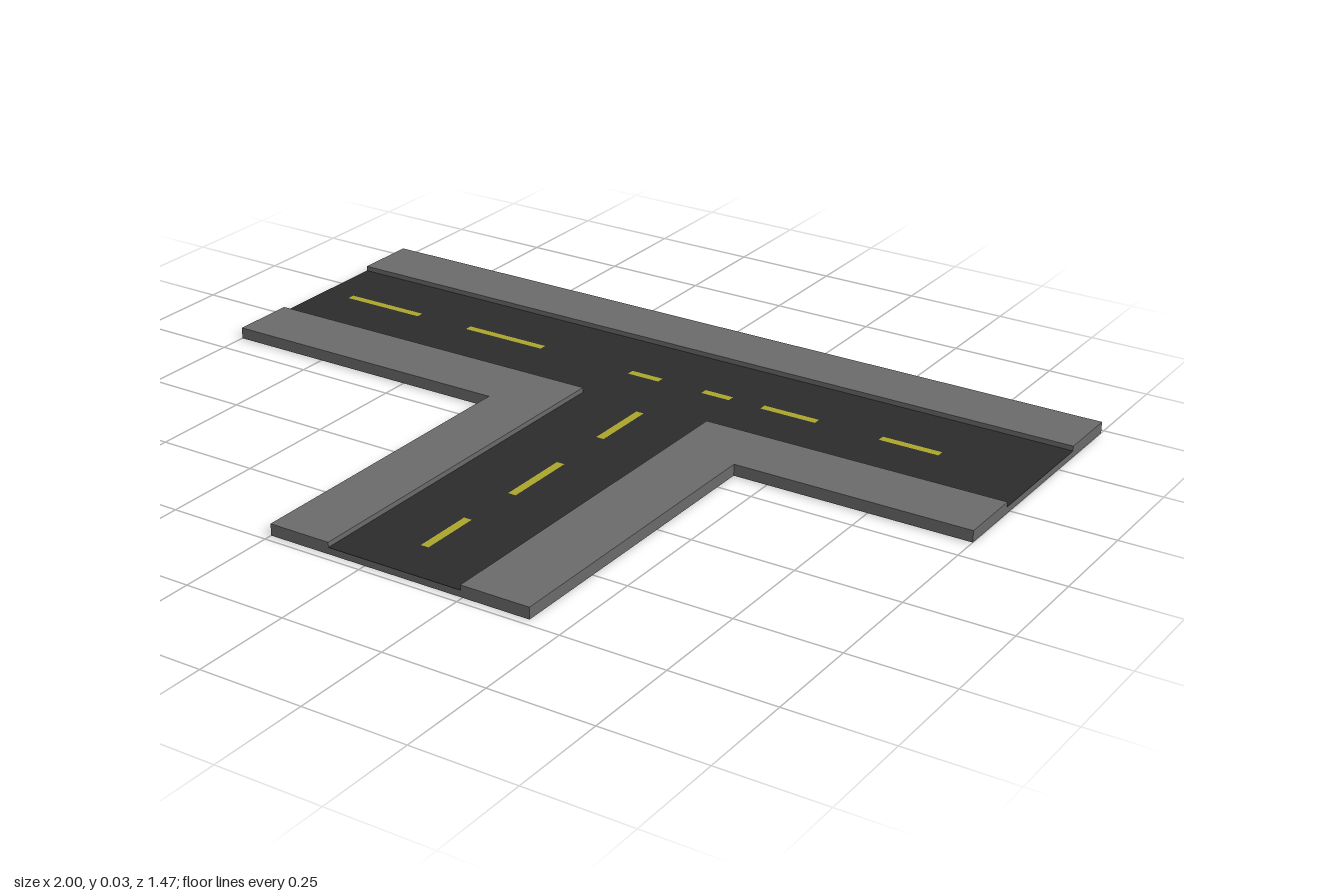
import * as THREE from 'three';

const ROAD_Y = 0.016, KERB_Y = 0.028;

export function createModel() {
  const model = new THREE.Group();
  const material = (name, color) => {
    const m = new THREE.MeshStandardMaterial({ color });
    m.name = name;
    return m;
  };
  const concrete = material('concrete', 0x6a6a6a);
  const asphalt = material('asphalt', 0x2b2b2b);
  const paint = material('yellow paint', 0xaaa52a);

  // Extrudes a plan outline of [x, z] points from height y0 to y1
  function slab(name, points, y0, y1, mat) {
    const shape = new THREE.Shape(points.map(([x, z]) => new THREE.Vector2(x, -z)));
    const geometry = new THREE.ExtrudeGeometry(shape, { depth: y1 - y0, bevelEnabled: false });
    geometry.rotateX(-Math.PI / 2).translate(0, y0, 0);
    const mesh = new THREE.Mesh(geometry, mat);
    mesh.name = name;
    model.add(mesh);
  }

  // Flat painted rectangle on the road
  function dash(name, x0, x1, z0, z1) {
    const geometry = new THREE.PlaneGeometry(x1 - x0, z1 - z0);
    geometry.rotateX(-Math.PI / 2).translate((x0 + x1) / 2, ROAD_Y + 0.001, (z0 + z1) / 2);
    const mesh = new THREE.Mesh(geometry, paint);
    mesh.name = name;
    model.add(mesh);
  }

  // T-shaped outline: crossbar between two z values, stem between two x values
  const tee = (zBack, zFront, xLeft, xRight) => [
    [-1, zBack], [-1, zFront], [xLeft, zFront], [xLeft, 0.73],
    [xRight, 0.73], [xRight, zFront], [1, zFront], [1, zBack],
  ];

  // Concrete base and the asphalt surface lying on it
  slab('base', tee(-0.735, -0.07, -0.25, 0.415), 0, ROAD_Y - 0.001, concrete);
  slab('roadSurface', tee(-0.577, -0.235, -0.095, 0.245), ROAD_Y - 0.001, ROAD_Y, asphalt);

  // Raised pavements: one straight, two L-shaped corners
  const y0 = ROAD_Y - 0.001;
  slab('backPavement', [[-1, -0.735], [-1, -0.577], [1, -0.577], [1, -0.735]], y0, KERB_Y, concrete);
  const corner = (end, inner, outer) => [
    [end, -0.235], [end, -0.07], [outer, -0.07], [outer, 0.73], [inner, 0.73], [inner, -0.235],
  ];
  slab('rightPavement', corner(-1, -0.095, -0.25), y0, KERB_Y, concrete);
  slab('leftPavement', corner(1, 0.245, 0.415), y0, KERB_Y, concrete);

  // Lane dashes along the crossbar: start x, end x, centre z
  for (const [a, b, z] of [
    [-0.92, -0.7, -0.405], [-0.55, -0.325, -0.405], [-0.065, 0.02, -0.395],
    [0.14, 0.215, -0.395], [0.3, 0.445, -0.395], [0.61, 0.76, -0.395],
  ]) dash('crossbarDash', a, b, z - 0.01, z + 0.01);

  // Lane dashes along the stem: start z, end z, centre x
  for (const [a, b, x] of [[-0.21, -0.04, 0.08], [0.12, 0.31, 0.08], [0.46, 0.615, 0.07]])
    dash('stemDash', x - 0.01, x + 0.01, a, b);

  return model;
}
